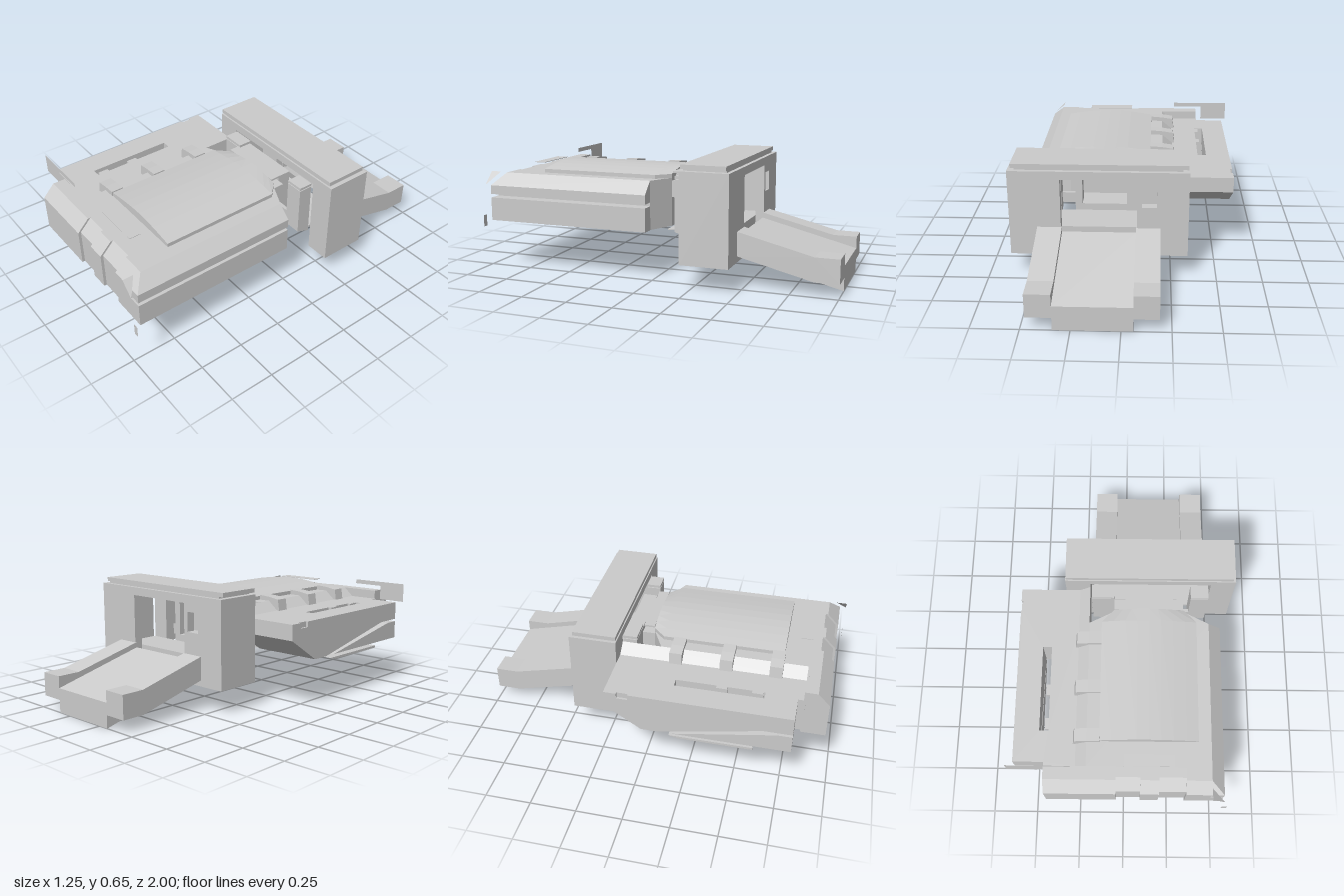
import * as THREE from 'three';
import { ConvexGeometry } from 'three/addons/geometries/ConvexGeometry.js';

export function createModel() {
  const model = new THREE.Group();
  const mat = new THREE.MeshStandardMaterial({ color: 0xcccccc, flatShading: true });
  const thin = new THREE.MeshStandardMaterial({ color: 0xcccccc, flatShading: true, side: THREE.DoubleSide });

  const add = (name, geo, m = mat) => {
    const mesh = new THREE.Mesh(geo, m);
    mesh.name = name;
    model.add(mesh);
    return mesh;
  };
  // box from its limits on each axis
  const box = (name, x0, x1, y0, y1, z0, z1) => {
    const g = new THREE.BoxGeometry(x1 - x0, y1 - y0, z1 - z0);
    g.translate((x0 + x1) / 2, (y0 + y1) / 2, (z0 + z1) / 2);
    return add(name, g);
  };
  // upright sheet facing front and back
  const sheet = (name, x0, x1, y0, y1, z) => {
    const g = new THREE.PlaneGeometry(x1 - x0, y1 - y0);
    g.translate((x0 + x1) / 2, (y0 + y1) / 2, z);
    return add(name, g, thin);
  };
  // open surface from a list of corners going round
  const facet = (name, pts) => {
    const g = new THREE.BufferGeometry();
    g.setAttribute('position', new THREE.Float32BufferAttribute(pts.flat(), 3));
    g.setIndex(pts.length === 3 ? [0, 1, 2] : [0, 1, 2, 0, 2, 3]);
    g.computeVertexNormals();
    return add(name, g, thin);
  };
  const path = (pts, Type = THREE.Shape) => new Type(pts.map(p => new THREE.Vector2(p[0], p[1])));
  // plan outline given as [x, z], raised from y0 to y1
  const plan = (name, pts, y0, y1, holes = []) => {
    const shape = path(pts.map(([x, z]) => [x, -z]));
    shape.holes = holes.map(h => path(h.map(([x, z]) => [x, -z]), THREE.Path));
    const g = new THREE.ExtrudeGeometry(shape, { depth: y1 - y0, bevelEnabled: false });
    g.rotateX(-Math.PI / 2);
    g.translate(0, y0, 0);
    return add(name, g);
  };
  // side outline given as [z, y], stretched from x0 to x1
  const side = (name, pts, x0, x1) => {
    const shape = path(pts.map(([z, y]) => [-z, y]));
    const g = new THREE.ExtrudeGeometry(shape, { depth: x1 - x0, bevelEnabled: false });
    g.rotateY(Math.PI / 2);
    g.translate(x0, 0, 0);
    return add(name, g);
  };
  const convex = (name, pts) => add(name, new ConvexGeometry(pts.map(p => new THREE.Vector3(...p))));

  // main hall with chamfered rear corners
  plan('mainBody', [[-0.2, 0.83], [0.47, 0.83], [0.47, 0.02], [0.33, -0.05], [-0.06, -0.05], [-0.2, 0.02]], 0.27, 0.537);

  // front face in panels, the narrow ones set back
  [[-0.427, -0.04, 0], [-0.04, 0.09, 0.015], [0.09, 0.19, 0], [0.19, 0.335, 0.015], [0.335, 0.47, 0]]
    .forEach(([x0, x1, d]) => side('frontPanel',
      [[0.83, 0.27], [0.965 - d, 0.27], [0.965 - d, 0.47], [0.9 - d, 0.537], [0.83, 0.537]], x0, x1));

  // left flank, split by a long slit, its upper edge bevelled
  box('lowerFlank', 0.47, 0.54, 0.27, 0.4, 0.02, 0.965);
  convex('upperFlank', [
    [0.47, 0.42, 0.02], [0.54, 0.42, 0.02], [0.54, 0.47, 0.02], [0.47, 0.537, 0.02],
    [0.47, 0.42, 0.965], [0.54, 0.42, 0.965], [0.54, 0.47, 0.965], [0.47, 0.47, 0.965], [0.47, 0.537, 0.9]]);

  // loose corner fin and hanging tab
  facet('cornerFin', [[0.47, 0.54, 0.94], [0.47, 0.54, 1], [0.54, 0.47, 1]]);
  sheet('cornerTab', 0.54, 0.57, 0.235, 0.3, 1);

  // arched roof cover, its rear end narrowing with the hall
  const arch = [[0.4, 0.535], [0.4, 0.558]];
  for (let i = 1; i < 8; i++) {
    const t = i / 8;
    arch.push([0.4 - 0.53 * t, 0.558 + 0.028 * Math.sin(Math.PI * t)]);
  }
  arch.push([-0.13, 0.558], [-0.13, 0.535]);
  [[-0.05, 0.02, 0.74], [0.02, 0.695, 1]].forEach(([z0, z1, pinch]) => {
    const g = new THREE.ExtrudeGeometry(path(arch), { depth: z1 - z0, bevelEnabled: false });
    const p = g.attributes.position;
    for (let i = 0; i < p.count; i++) {
      if (p.getZ(i) < 0.001) p.setX(i, 0.135 + (p.getX(i) - 0.135) * pinch);
    }
    g.translate(0, 0, z0);
    add('roofCover', g);
  });
  box('roofPlate', 0, 0.27, 0.573, 0.576, 0.77, 0.835);

  // lower side deck with a slot and a notch
  plan('sideDeck', [[-0.597, 0.8], [-0.43, 0.8], [-0.43, 0.83], [-0.2, 0.83], [-0.2, -0.2], [-0.597, -0.2],
    [-0.597, -0.13], [-0.585, -0.13], [-0.585, -0.07], [-0.597, -0.07]], 0.457, 0.487,
  [[[-0.46, 0.15], [-0.46, 0.63], [-0.41, 0.63], [-0.41, 0.15]]]);
  // body below the deck, its rear lower edge cut away
  side('deckBase', [[-0.2, 0.457], [-0.2, 0.4], [0, 0.27], [0.83, 0.27], [0.83, 0.457]], -0.41, -0.2);
  side('slotEnd', [[-0.2, 0.457], [-0.2, 0.4], [0, 0.27], [0.15, 0.27], [0.15, 0.457]], -0.46, -0.41);
  box('slotEnd', -0.46, -0.41, 0.27, 0.457, 0.63, 0.8);
  [0.37, 0.56].forEach(z => box('slotTooth', -0.43, -0.41, 0.457, 0.487, z, z + 0.06));
  // outer wing, cut by a slanting gap
  side('wingUpper', [[-0.2, 0.457], [-0.2, 0.4], [0, 0.27], [0.1, 0.27], [0.65, 0.385], [0.8, 0.385], [0.8, 0.457]], -0.597, -0.46);
  side('wingWedge', [[0.17, 0.27], [0.8, 0.27], [0.8, 0.37], [0.72, 0.37]], -0.597, -0.46);
  side('wingSkid', [[0.15, 0.25], [0.2, 0.237], [0.6, 0.237], [0.6, 0.25]], -0.59, -0.46);
  box('skidWeb', -0.464, -0.46, 0.25, 0.27, 0.15, 0.6);
  // upright sign plate at the front of the deck
  sheet('signPlate', -0.623, -0.46, 0.487, 0.595, 0.84);
  sheet('signArm', -0.46, -0.28, 0.57, 0.595, 0.84);

  // sloping kerb and braces between deck and roof
  convex('deckKerb', [-0.2, 0.83].flatMap(z => [[-0.26, 0.487, z], [-0.2, 0.487, z], [-0.2, 0.537, z]]));
  [0.08, 0.36, 0.63].forEach(z => convex('brace', [z, z + 0.07].flatMap(w => [
    [-0.275, 0.487, w], [-0.265, 0.55, w], [-0.2, 0.56, w], [-0.13, 0.565, w], [-0.13, 0.487, w]])));

  // neck joining hall and gate, with a slanting underside
  [[-0.19, -0.06], [0.37, 0.47]].forEach(([a, b]) => {
    side('neckFoot', [[-0.12, 0.3], [-0.12, 0.27], [-0.2, 0.24], [-0.2, 0.3]], a, b);
    box('neckBlock', a, b, 0.3, 0.55, -0.2, -0.12);
    box('neckLedge', a, b, 0.555, 0.57, -0.2, -0.12);
  });
  side('neckFloor', [[-0.05, 0.32], [-0.05, 0.27], [-0.2, 0.27], [-0.2, 0.32]], -0.06, 0.29);
  side('gateFloor', [[-0.2, 0.28], [-0.2, 0.268], [-0.415, 0.2], [-0.415, 0.28]], -0.19, 0.475);
  box('neckLink', 0.29, 0.37, 0.3, 0.36, -0.14, -0.12);
  box('neckPlate', 0.02, 0.26, 0.229, 0.235, -0.11, 0);
  [[-0.06, 0], [0.27, 0.33]].forEach(([a, b]) => box('neckRail', a, b, 0.43, 0.52, -0.12, -0.05));
  [[-0.06, 0], [0.25, 0.29]].forEach(([a, b]) => box('neckPost', a, b, 0.3, 0.55, -0.2, -0.12));
  box('neckRoof', 0, 0.27, 0.52, 0.55, -0.2, -0.05);
  box('neckCap', -0.06, 0.31, 0.56, 0.57, -0.11, -0.05);

  // gate: pillars, beam, rear shoulders (one with a window) and cap
  [[-0.34, -0.2], [0.485, 0.623]].forEach(([a, b]) => box('gatePillar', a, b, 0.135, 0.62, -0.465, -0.2));
  box('gateBeam', -0.2, 0.485, 0.575, 0.62, -0.465, -0.2);
  box('gateShoulder', 0.345, 0.485, 0.135, 0.575, -0.465, -0.415);
  const shoulder = path([[-0.2, 0.135], [-0.065, 0.135], [-0.065, 0.575], [-0.2, 0.575]]);
  shoulder.holes.push(path([[-0.17, 0.42], [-0.17, 0.53], [-0.09, 0.53], [-0.09, 0.42]], THREE.Path));
  const windowWall = new THREE.ExtrudeGeometry(shoulder, { depth: 0.05, bevelEnabled: false });
  windowWall.translate(0, 0, -0.465);
  add('gateShoulder', windowWall);
  box('gateCapSeat', -0.305, 0.587, 0.62, 0.632, -0.443, -0.21);
  box('gateCap', -0.335, 0.607, 0.63, 0.653, -0.445, -0.202);

  // sloping ramp: hollow trough between two side rails
  facet('rampFloor', [[-0.06, 0.27, -0.46], [0.34, 0.27, -0.46], [0.34, 0.135, -1], [-0.06, 0.135, -1]]);
  [-0.06, 0.34].forEach(x => facet('rampWall', [[x, 0.27, -0.46], [x, 0.135, -1], [x, 0, -1], [x, 0.135, -0.46]]));
  sheet('rampEnd', -0.06, 0.34, 0, 0.135, -1);
  [[-0.19, -0.06], [0.34, 0.473]].forEach(([a, b]) => side('rampRail',
    [[-0.46, 0.3], [-0.87, 0.2], [-1, 0.2], [-1, 0.07], [-0.87, 0.07], [-0.46, 0.17]], a, b));

  return model;
}
